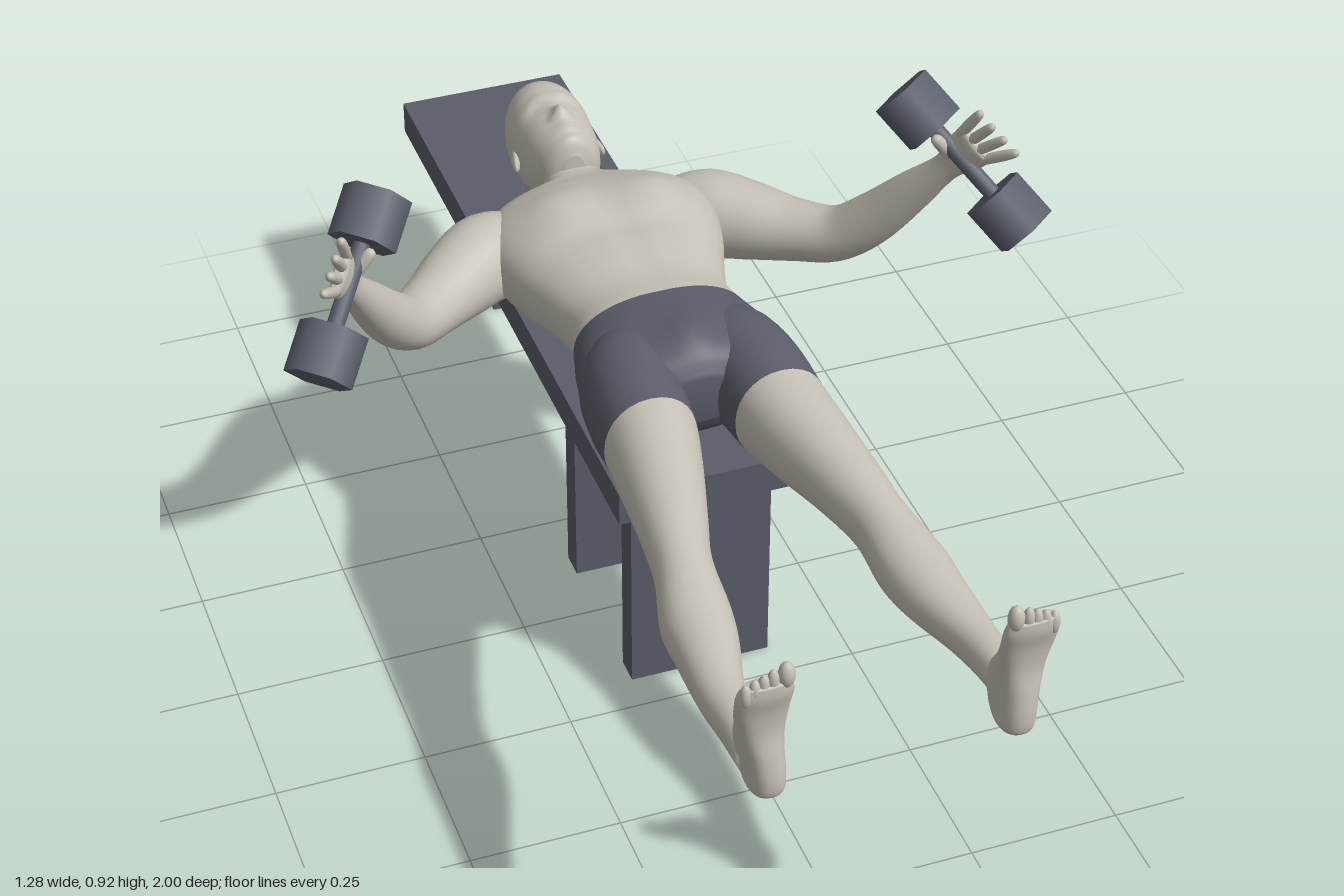
import * as THREE from 'three';

const V = (x, y, z) => new THREE.Vector3(x, y, z);
const X = V(1, 0, 0), Y = V(0, 1, 0), Z = V(0, 0, 1);
const bell = (v, c, w) => Math.exp(-(((v - c) / w) ** 2));

// Smooth skin through rows of [x, y, z, radiusA, radiusB].
// a: direction of radiusA; t: fixed section normal (otherwise it follows the path);
// power: squareness; split: row where the second material starts; shape: rule moving each vertex
function loft(rows, { a, t = null, power = 2, steps = 5, sides = 28, split = 0, shape = null }) {
  const spine = new THREE.CatmullRomCurve3(rows.map(r => V(r[0], r[1], r[2])), false, 'catmullrom', 0.5);
  const radii = new THREE.CatmullRomCurve3(rows.map(r => V(r[3], r[4], 0)), false, 'catmullrom', 0.5);
  const rings = (rows.length - 1) * steps, pos = [], idx = [];
  const put = p => { if (shape) shape(p); pos.push(p.x, p.y, p.z); };
  const soft = v => Math.sign(v) * Math.abs(v) ** (2 / power);
  for (let i = 0; i <= rings; i++) {
    const u = i / rings, c = spine.getPoint(u), r = radii.getPoint(u);
    const n = t || spine.getTangent(u);
    const da = a.clone().addScaledVector(n, -a.dot(n)).normalize();
    const db = n.clone().cross(da);
    for (let j = 0; j < sides; j++) {
      const th = j / sides * Math.PI * 2;
      put(c.clone().addScaledVector(da, r.x * soft(Math.cos(th))).addScaledVector(db, r.y * soft(Math.sin(th))));
    }
  }
  put(spine.getPoint(0));
  put(spine.getPoint(1));
  const first = (rings + 1) * sides, last = first + 1;
  for (let j = 0; j < sides; j++) idx.push(first, (j + 1) % sides, j);
  let cut = 0;
  for (let i = 0; i < rings; i++) {
    if (i === split * steps) cut = idx.length;
    for (let j = 0; j < sides; j++) {
      const k = (j + 1) % sides, p = i * sides, q = p + sides;
      idx.push(p + j, p + k, q + j, p + k, q + k, q + j);
    }
  }
  for (let j = 0; j < sides; j++) idx.push(last, rings * sides + j, rings * sides + (j + 1) % sides);
  const g = new THREE.BufferGeometry();
  g.setAttribute('position', new THREE.Float32BufferAttribute(pos, 3));
  g.setIndex(idx);
  if (split) {
    g.addGroup(0, cut, 0);
    g.addGroup(cut, idx.length - cut, 1);
  }
  g.computeVertexNormals();
  return g;
}

// Section lying across z: [z, centreX, halfWidth, top, bottom]
const across = s => ([z, x, w, top, bot]) => [x * s, (top + bot) / 2, z, w, (top - bot) / 2];

export function createModel() {
  const model = new THREE.Group();
  const skin = new THREE.MeshStandardMaterial({ name: 'skin', color: 0xc6c1b6 });
  const slate = new THREE.MeshStandardMaterial({ name: 'slate', color: 0x5b5e69 });
  const iron = new THREE.MeshStandardMaterial({ name: 'iron', color: 0x5b606c });
  const add = (name, geo, mat, parent = model) => {
    const m = new THREE.Mesh(geo, mat);
    m.name = name;
    parent.add(m);
    return m;
  };

  // Bench: flat top, two panel legs and one narrow leg
  const box = (name, w, y0, y1, z0, z1) =>
    add(name, new THREE.BoxGeometry(w, y1 - y0, z1 - z0), slate).position.set(0, (y0 + y1) / 2, (z0 + z1) / 2);
  box('benchTop', 0.304, 0.37, 0.43, -1, 0.22);
  box('frontPanelLeg', 0.242, 0, 0.37, 0.14, 0.187);
  box('middlePanelLeg', 0.242, 0, 0.37, -0.15, -0.103);
  box('backLeg', 0.047, 0, 0.37, -0.94, -0.893);

  // Neck, trunk and upper part of the shorts
  const trunk = [
    [-0.50, 0, 0.050, 0.605, 0.500], [-0.45, 0, 0.056, 0.603, 0.495], [-0.43, 0, 0.085, 0.605, 0.478],
    [-0.405, 0, 0.160, 0.613, 0.460], [-0.36, 0, 0.198, 0.632, 0.442], [-0.30, 0, 0.205, 0.646, 0.436],
    [-0.22, 0, 0.188, 0.646, 0.440], [-0.14, 0, 0.160, 0.640, 0.450], [-0.07, 0, 0.142, 0.634, 0.457],
    [-0.008, 0, 0.150, 0.640, 0.456], [0.06, 0, 0.167, 0.646, 0.450], [0.12, 0, 0.165, 0.642, 0.450],
    [0.165, 0, 0.120, 0.630, 0.480], [0.19, 0, 0.060, 0.600, 0.520]];
  add('trunk', loft(trunk.map(across(1)), {
    a: X, t: Z, power: 2.3, sides: 64, split: 9,
    shape: p => {
      if (p.y < 0.57) return;
      const ax = Math.abs(p.x);
      p.y += 0.016 * bell(ax, 0.085, 0.055) * bell(p.z, -0.285, 0.06);      // chest
      p.y -= 0.005 * bell(ax, 0, 0.014) * bell(p.z, -0.2, 0.14);            // midline
      p.y -= 0.005 * bell(p.z, -0.2, 0.02) * bell(ax, 0.05, 0.07);          // ribs
      p.y += 0.016 * bell(ax, 0, 0.035) * bell(p.z, 0.12, 0.045);           // front of shorts
    },
  }), [skin, slate]);

  // Head, face upwards
  const head = [
    [-0.692, 0, 0.004, 0.572, 0.564], [-0.685, 0, 0.030, 0.612, 0.532], [-0.665, 0, 0.053, 0.644, 0.502],
    [-0.63, 0, 0.068, 0.662, 0.481], [-0.59, 0, 0.073, 0.667, 0.475], [-0.55, 0, 0.071, 0.663, 0.478],
    [-0.51, 0, 0.066, 0.660, 0.488], [-0.475, 0, 0.055, 0.656, 0.502], [-0.455, 0, 0.040, 0.649, 0.520],
    [-0.444, 0, 0.018, 0.625, 0.550]];
  add('head', loft(head.map(across(1)), {
    a: X, t: Z, power: 2.1, sides: 96, steps: 8,
    shape: p => {
      if (p.y < 0.6) return;
      const ax = Math.abs(p.x);
      p.y += 0.021 * bell(ax, 0, 0.012) * bell(p.z, -0.524, 0.018);         // nose
      p.y += 0.006 * bell(ax, 0.014, 0.008) * bell(p.z, -0.516, 0.008);     // nostrils
      p.y -= 0.008 * bell(ax, 0.028, 0.014) * bell(p.z, -0.562, 0.011);     // eye sockets
      p.y += 0.005 * bell(ax, 0.028, 0.009) * bell(p.z, -0.560, 0.006);     // eyelids
      p.y += 0.003 * bell(ax, 0.025, 0.022) * bell(p.z, -0.583, 0.009);     // brows
      p.y += 0.007 * bell(ax, 0, 0.020) * bell(p.z, -0.489, 0.010);         // lips
      p.y -= 0.004 * bell(ax, 0, 0.020) * bell(p.z, -0.489, 0.003);         // mouth
      p.y += 0.003 * bell(ax, 0, 0.018) * bell(p.z, -0.462, 0.009);         // chin
    },
  }), skin);

  const ball = new THREE.SphereGeometry(1, 16, 12);
  for (const s of [1, -1]) {
    const side = s > 0 ? 'left' : 'right';
    const at = (x, y, z) => V(x * s, y, z);

    const ear = add(side + 'Ear', ball, skin);
    ear.position.set(0.073 * s, 0.564, -0.553);
    ear.scale.set(0.008, 0.015, 0.029);
    ear.rotation.y = 0.25 * s;

    // Leg, with the shorts ending above the knee
    const leg = [
      [0.03, 0.080, 0.066, 0.625, 0.465], [0.09, 0.092, 0.082, 0.642, 0.452], [0.17, 0.104, 0.081, 0.643, 0.455],
      [0.25, 0.109, 0.077, 0.635, 0.465], [0.34, 0.123, 0.069, 0.622, 0.473], [0.45, 0.143, 0.056, 0.604, 0.484],
      [0.54, 0.160, 0.047, 0.586, 0.480], [0.63, 0.174, 0.056, 0.570, 0.462], [0.70, 0.181, 0.051, 0.560, 0.466],
      [0.80, 0.196, 0.037, 0.551, 0.478], [0.88, 0.200, 0.030, 0.556, 0.490], [0.95, 0.200, 0.028, 0.556, 0.497]];
    add(side + 'Leg', loft(leg.map(across(s)), { a: X, t: Z, power: 2.1, split: 3 }), [slate, skin]);

    // Foot standing upright: [y, x, halfWidth, backZ, soleZ]
    const foot = [
      [0.483, 0.192, 0.012, 0.955, 0.985], [0.492, 0.192, 0.027, 0.930, 0.997], [0.52, 0.193, 0.031, 0.905, 1.0],
      [0.56, 0.196, 0.033, 0.900, 0.995], [0.60, 0.199, 0.036, 0.927, 0.987], [0.64, 0.201, 0.041, 0.950, 0.988],
      [0.675, 0.201, 0.043, 0.963, 0.995], [0.698, 0.200, 0.038, 0.970, 0.995]];
    add(side + 'Foot', loft(foot.map(([y, x, w, z0, z1]) => [x * s, y, (z0 + z1) / 2, (z1 - z0) / 2, w]),
      { a: Z, t: Y, power: 2.3 }), skin);
    for (let i = 0; i < 5; i++) {
      const toe = add(side + 'Toe', ball, skin);
      const r = i ? 0.0088 : 0.0125;
      toe.position.set((i ? 0.178 + i * 0.0135 : 0.172) * s, 0.708 - i * 0.006, 0.986);
      toe.scale.set(r, i ? 0.02 : 0.022, r);
    }

    // Arm from shoulder to knuckles
    const grip = at(0.51, -0.64, 0.575);
    const arm = [
      [0.08, 0.535, -0.355, 0.030, 0.030], [0.14, 0.536, -0.350, 0.060, 0.058], [0.20, 0.537, -0.330, 0.076, 0.073],
      [0.26, 0.537, -0.285, 0.068, 0.068], [0.32, 0.540, -0.230, 0.054, 0.056], [0.375, 0.555, -0.175, 0.047, 0.050],
      [0.42, 0.605, -0.130, 0.044, 0.044], [0.465, 0.680, -0.080, 0.035, 0.033], [0.502, 0.750, -0.032, 0.024, 0.020],
      [0.516, 0.785, -0.008, 0.034, 0.015], [0.530, 0.815, 0.015, 0.037, 0.012], [0.533, 0.822, 0.021, 0.030, 0.007]];
    add(side + 'Arm', loft(arm.map(([x, ...r]) => [x * s, ...r]), { a: grip }), skin);

    // Open fingers and thumb
    const digit = (name, from, to, r) => {
      const row = (k, f) => [...from.clone().lerp(to, k).toArray(), r * f, r * f];
      add(name, loft([row(0, 1), row(0.5, 1.05), row(0.9, 0.85), row(1, 0.25)], { a: grip, sides: 10, steps: 3 }), skin);
    };
    for (const k of [-1, -0.33, 0.33, 1]) {
      digit(side + 'Finger', at(0.527, 0.810, 0.010).addScaledVector(grip, 0.028 * k),
        at(0.553, 0.862, 0.058).addScaledVector(grip, 0.044 * k), 0.0088);
    }
    digit(side + 'Thumb', at(0.508, 0.778, -0.018), at(0.470, 0.828, -0.012), 0.011);

    // Six-sided dumbbell lying across the palm, its sides softly shaded
    const dumbbell = new THREE.Group();
    dumbbell.name = side + 'Dumbbell';
    dumbbell.position.copy(at(0.517, 0.782, 0.005));
    dumbbell.quaternion.setFromUnitVectors(Y, at(-0.115, 0.145, -0.13).normalize());
    model.add(dumbbell);
    add('handle', new THREE.CylinderGeometry(0.014, 0.014, 0.2, 16), iron, dumbbell);
    for (const e of [1, -1]) {
      add('weight', new THREE.CylinderGeometry(0.056, 0.056, 0.084, 6), iron, dumbbell).position.y = 0.112 * e;
    }
  }
  return model;
}
